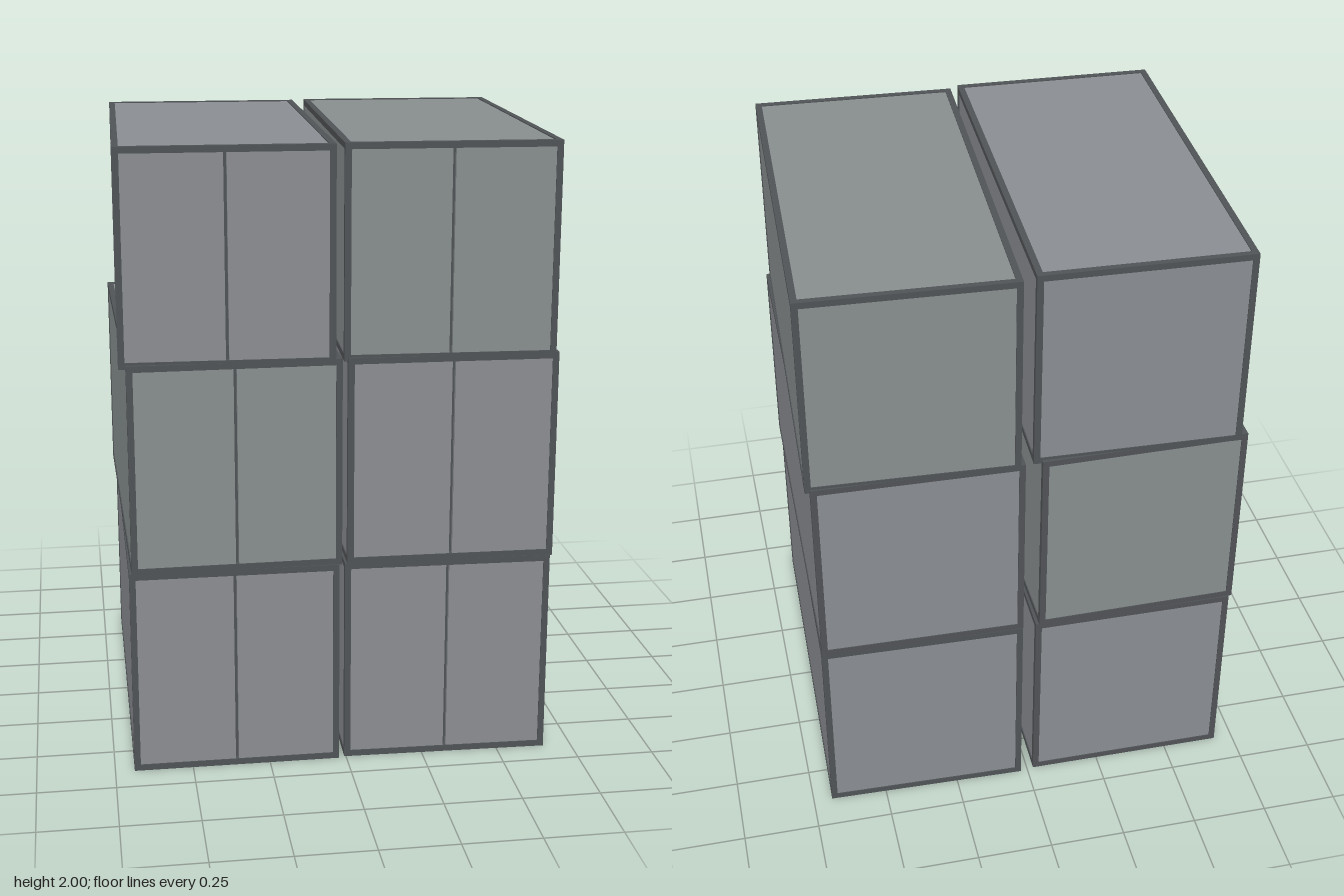
import * as THREE from 'three';

const W = 0.664, H = 0.671, D = 1.29; // one cabinet
const T = 0.02;                       // frame bar thickness
const INSET = 0.003;                  // panels sit just behind the frame

const frameMat = new THREE.MeshStandardMaterial({ color: 0x505356 });
const panelMat = new THREE.MeshStandardMaterial({ color: 0x8a8d92 });
const greenishMat = new THREE.MeshStandardMaterial({ color: 0x888e8e });

function addBox(group, name, mat, size, pos) {
  const mesh = new THREE.Mesh(new THREE.BoxGeometry(...size), mat);
  mesh.position.set(...pos);
  mesh.name = name;
  group.add(mesh);
}

// One framed cabinet with double doors on the front, origin at the bottom centre
function createCabinet(mat) {
  const g = new THREE.Group();
  const x = (W - T) / 2, z = (D - T) / 2;

  // Frame: four posts, then the rails around the top and bottom
  for (const sx of [-1, 1]) for (const sz of [-1, 1])
    addBox(g, 'framePost', frameMat, [T, H, T], [sx * x, H / 2, sz * z]);
  for (const y of [T / 2, H - T / 2]) for (const s of [-1, 1]) {
    addBox(g, 'frameRail', frameMat, [W - 2 * T, T, T], [0, y, s * z]);
    addBox(g, 'sideRail', frameMat, [T, T, D - 2 * T], [s * x, y, 0]);
  }

  // Dark core, seen through the gap between the doors
  addBox(g, 'core', frameMat, [W - 2 * T, H - 2 * T, D - 2 * T], [0, H / 2, 0]);

  // Side, top, bottom and back panels
  const p = T - INSET, o = INSET + p / 2;
  for (const s of [-1, 1]) {
    addBox(g, 'sidePanel', mat, [p, H - 2 * T, D - 2 * T], [s * (W / 2 - o), H / 2, 0]);
    addBox(g, s > 0 ? 'topPanel' : 'bottomPanel', mat, [W - 2 * T, p, D - 2 * T],
      [0, H / 2 + s * (H / 2 - o), 0]);
  }
  addBox(g, 'backPanel', mat, [W - 2 * T, H - 2 * T, p], [0, H / 2, -(D / 2 - o)]);

  // Pair of doors
  const gap = 0.01, dw = (W - 2 * T - gap) / 2;
  for (const s of [-1, 1])
    addBox(g, s > 0 ? 'leftDoor' : 'rightDoor', mat, [dw, H - 2 * T, p],
      [s * (gap + dw) / 2, H / 2, D / 2 - o]);
  return g;
}

export function createModel() {
  const model = new THREE.Group();
  model.name = 'cabinetStack';
  // x, y, turn, panel material
  const stack = [
    [-0.355, 0, -0.002, panelMat],
    [0.341, 0, -0.023, panelMat],
    [-0.356, 0.67, 0.013, greenishMat],
    [0.344, 0.67, -0.016, panelMat],
    [-0.354, 1.329, -0.025, panelMat],
    [0.346, 1.329, -0.037, greenishMat],
  ];
  stack.forEach(([x, y, turn, mat], i) => {
    const cabinet = createCabinet(mat);
    cabinet.name = `${['bottom', 'middle', 'top'][i >> 1]}${i % 2 ? 'Left' : 'Right'}Cabinet`;
    cabinet.position.set(x, y, 0);
    cabinet.rotation.y = turn;
    model.add(cabinet);
  });
  return model;
}
